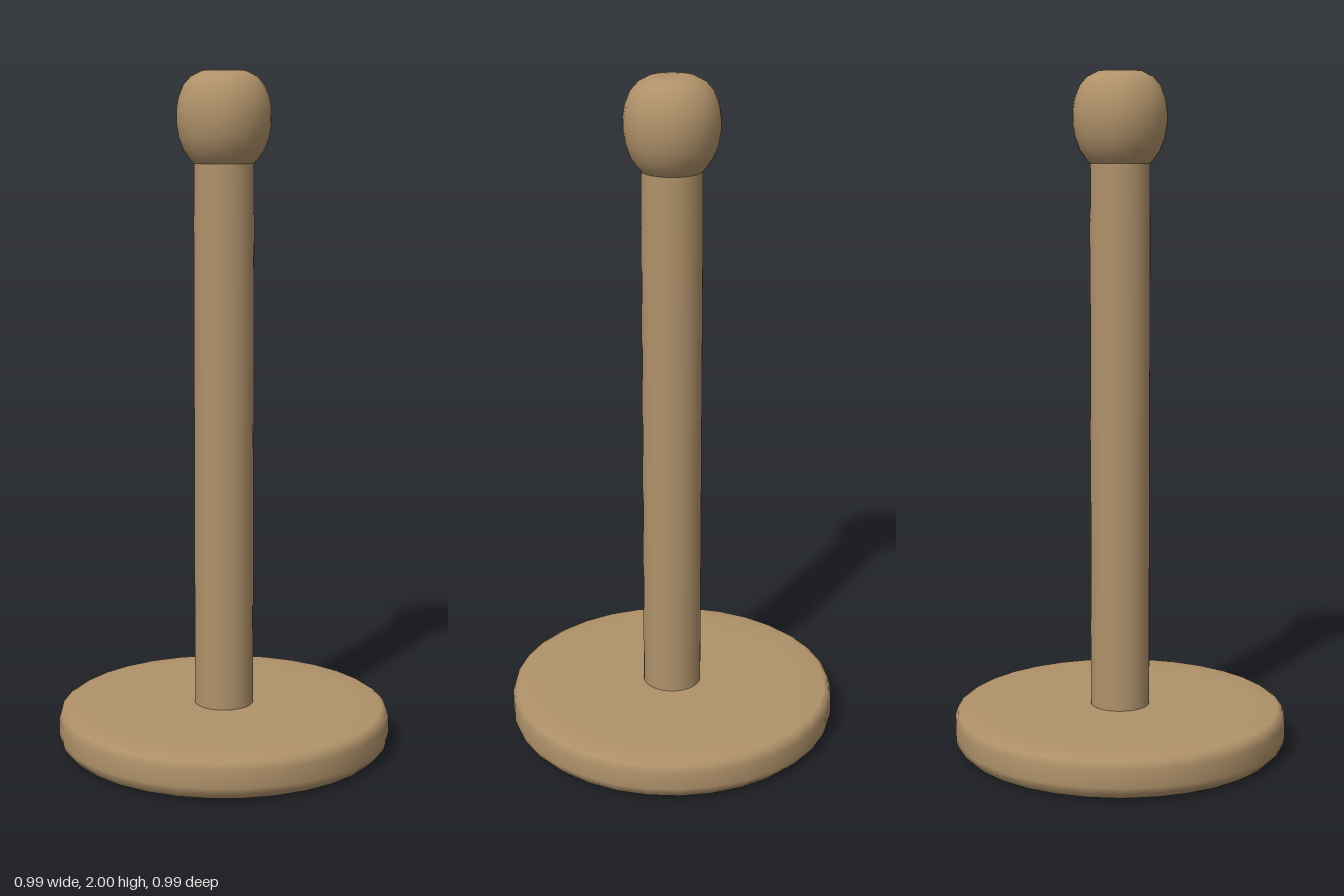
import * as THREE from 'three';

const wood = new THREE.MeshStandardMaterial({ color: 0xb0926a });

// Turned part from a bottom-to-top [radius, height] profile
function turned(name, profile, sides) {
  const points = profile.map(([r, y]) => new THREE.Vector2(r, y));
  const mesh = new THREE.Mesh(new THREE.LatheGeometry(points, sides), wood);
  mesh.name = name;
  return mesh;
}

export function createModel() {
  const group = new THREE.Group();
  group.name = 'turnedStand';

  // Round foot with softened rims
  group.add(turned('base', [
    [0, 0], [0.46, 0], [0.475, 0.004], [0.492, 0.022], [0.497, 0.04],
    [0.497, 0.09], [0.49, 0.112], [0.475, 0.121], [0.4, 0.126], [0, 0.126],
  ], 32));

  // Straight post, very slightly slimmer near the top
  group.add(turned('post', [
    [0.088, 0.11], [0.088, 0.3], [0.088, 1.58], [0.087, 1.62], [0.087, 1.76],
  ], 32));

  // Ball finial with a flattened crown, necking into the post
  group.add(turned('knob', [
    [0.086, 1.735], [0.098, 1.748], [0.117, 1.775], [0.13, 1.81], [0.137, 1.85],
    [0.137, 1.885], [0.132, 1.92], [0.117, 1.958], [0.095, 1.983],
    [0.065, 1.998], [0.04, 2], [0, 2],
  ], 32));

  return group;
}
